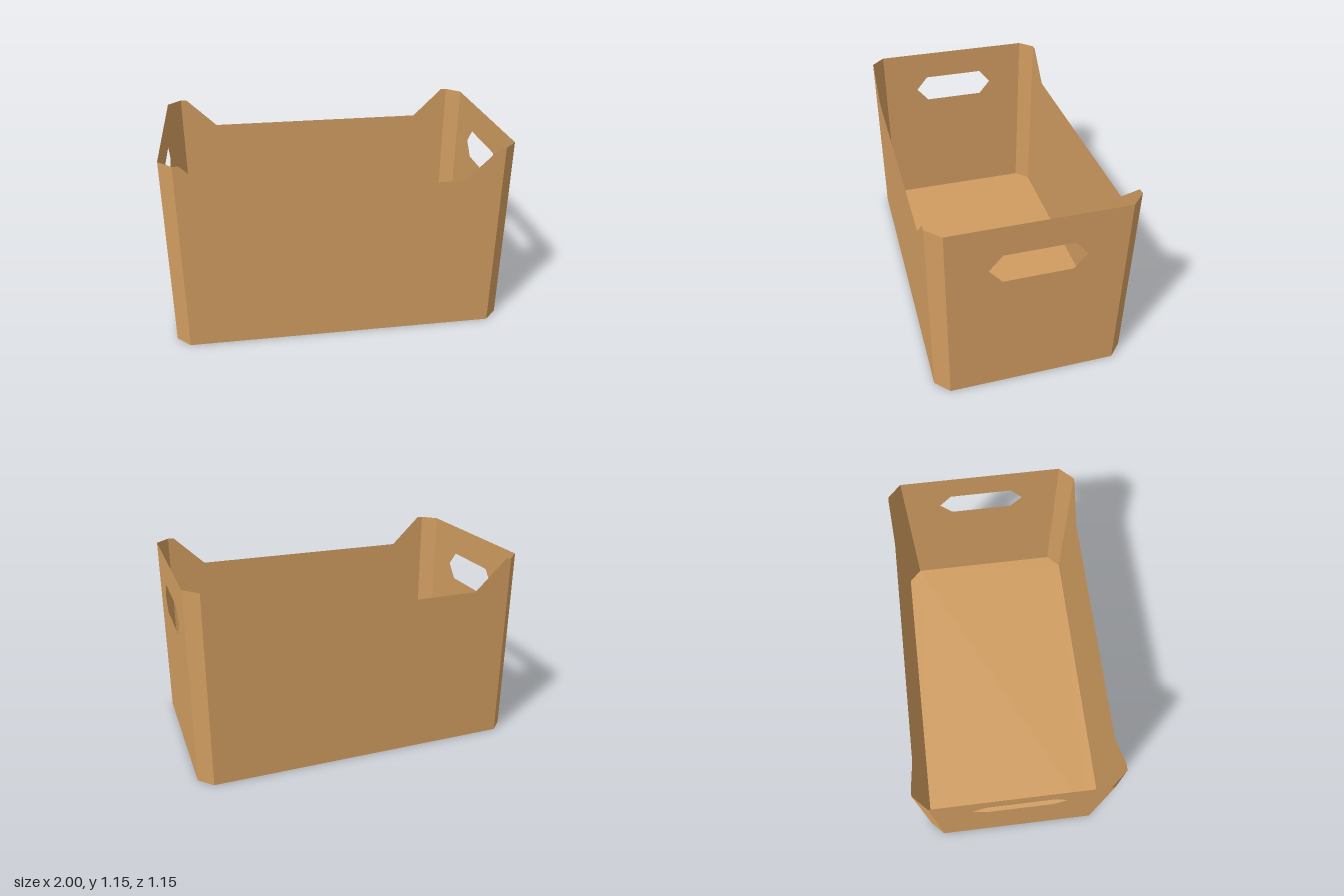
import * as THREE from 'three';

const HALF_X = 1, HALF_Z = 0.577, HEIGHT = 1.155, CUT = 0.08;

function polygon(points, PathType = THREE.Shape) {
  return new PathType(points.map(([x, y]) => new THREE.Vector2(x, y)));
}

export function createModel() {
  const crate = new THREE.Group();
  crate.name = 'openCrate';
  const cardboard = new THREE.MeshStandardMaterial({ color: 0xd09c60, side: THREE.DoubleSide });
  cardboard.name = 'cardboard';

  function addPanel(name, geometry, x, z, turn) {
    const panel = new THREE.Mesh(geometry, cardboard);
    panel.name = name;
    panel.position.set(x, 0, z);
    panel.rotation.y = turn;
    crate.add(panel);
  }

  // Long walls with a lowered, slanted top edge
  const wx = HALF_X - CUT, wz = HALF_Z - CUT;
  const longWall = new THREE.ShapeGeometry(polygon([
    [-wx, 0], [wx, 0], [wx, HEIGHT], [0.885, HEIGHT], [0.695, 0.97],
    [-0.695, 0.97], [-0.885, HEIGHT], [-wx, HEIGHT],
  ]));
  addPanel('frontWall', longWall, 0, HALF_Z, 0);
  addPanel('backWall', longWall, 0, -HALF_Z, Math.PI);

  // End walls with six-sided hand holes
  const endShape = polygon([[-wz, 0], [wz, 0], [wz, HEIGHT], [-wz, HEIGHT]]);
  endShape.holes.push(polygon([
    [-0.27, 0.88], [-0.195, 0.97], [0.195, 0.97],
    [0.27, 0.88], [0.195, 0.79], [-0.195, 0.79],
  ], THREE.Path));
  const endWall = new THREE.ShapeGeometry(endShape);
  addPanel('leftWall', endWall, HALF_X, 0, Math.PI / 2);
  addPanel('rightWall', endWall, -HALF_X, 0, -Math.PI / 2);

  // Chamfered corner strips
  const strip = new THREE.PlaneGeometry(CUT * Math.SQRT2, HEIGHT).translate(0, HEIGHT / 2, 0);
  for (const sx of [-1, 1]) {
    for (const sz of [-1, 1]) {
      addPanel((sz > 0 ? 'front' : 'back') + (sx > 0 ? 'Left' : 'Right') + 'Corner', strip,
        sx * (HALF_X - CUT / 2), sz * (HALF_Z - CUT / 2), Math.atan2(sx, sz));
    }
  }

  // Eight-sided floor, facing down
  const floor = new THREE.ShapeGeometry(polygon([
    [-wx, -HALF_Z], [wx, -HALF_Z], [HALF_X, -wz], [HALF_X, wz],
    [wx, HALF_Z], [-wx, HALF_Z], [-HALF_X, wz], [-HALF_X, -wz],
  ])).rotateX(Math.PI / 2);
  addPanel('floor', floor, 0, 0, 0);

  return crate;
}
